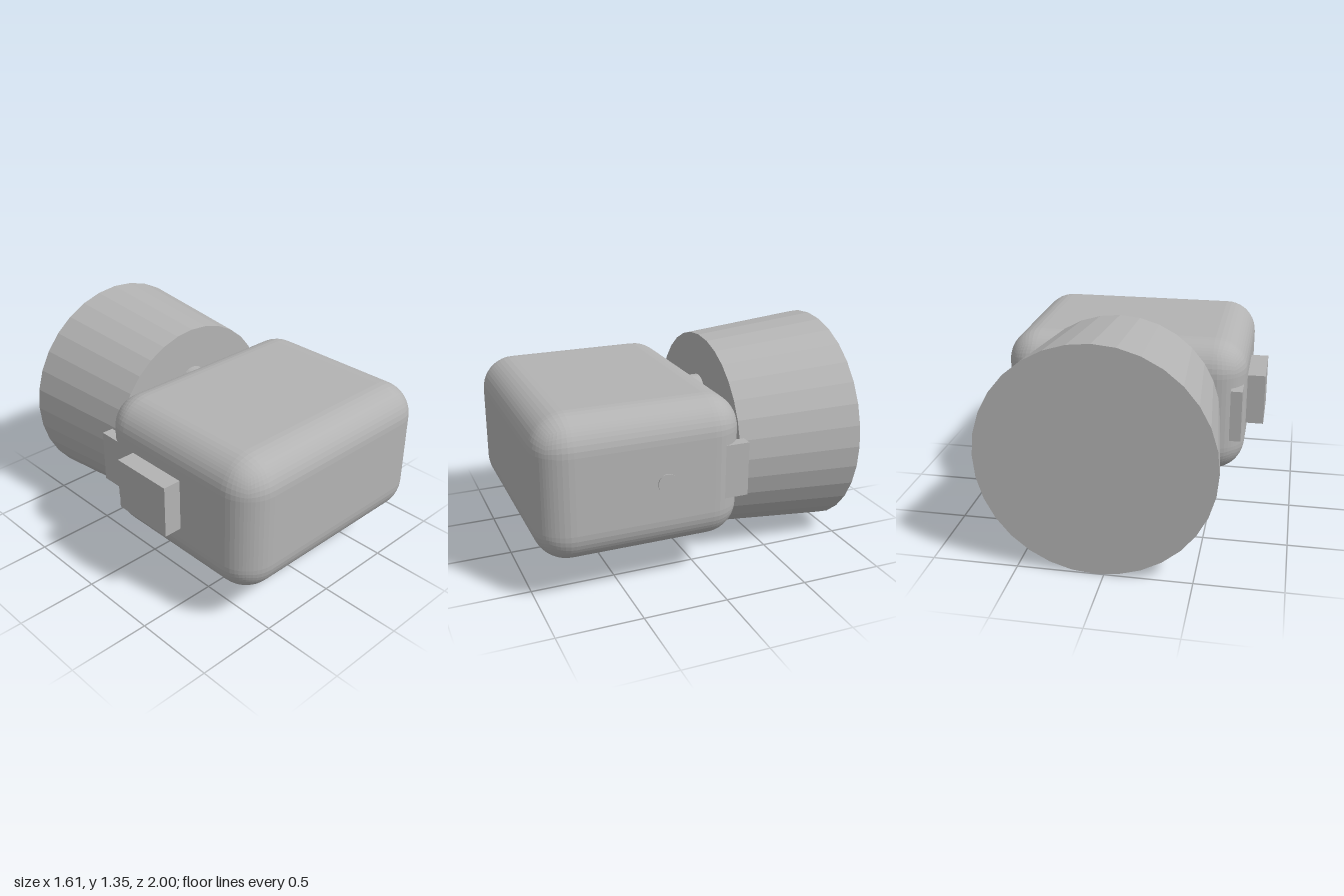
import * as THREE from 'three';
import { RoundedBoxGeometry } from 'three/addons/geometries/RoundedBoxGeometry.js';

export function createModel() {
  const group = new THREE.Group();
  const grey = new THREE.MeshStandardMaterial({ color: 0xb3b3b3, flatShading: true });
  grey.name = 'grey';
  const cx = 0.05, cy = 0.678; // shared axis of body and lens

  function add(name, geometry, x, y, z) {
    const mesh = new THREE.Mesh(geometry, grey);
    mesh.name = name;
    mesh.position.set(x, y, z);
    group.add(mesh);
  }
  // Box given by its limits on each axis
  function box(name, x0, x1, y0, y1, z0, z1) {
    add(name, new THREE.BoxGeometry(x1 - x0, y1 - y0, z1 - z0),
      (x0 + x1) / 2, (y0 + y1) / 2, (z0 + z1) / 2);
  }
  // Round part lying along z, from zBack to zFront
  function barrel(name, rFront, rBack, y, zBack, zFront) {
    const g = new THREE.CylinderGeometry(rFront, rBack, zFront - zBack, 32).rotateX(Math.PI / 2);
    add(name, g, cx, y, (zBack + zFront) / 2);
  }

  // Rounded housing
  add('body', new RoundedBoxGeometry(1.49, 0.85, 1.21, 6, 0.2), cx, cy, 0.395);

  // Flared drum behind, with its mount and locating pin
  barrel('drum', 0.605, 0.675, 0.675, -1, -0.232);
  barrel('mountDisc', 0.28, 0.28, 0.675, -0.234, -0.15);
  barrel('mountPin', 0.105, 0.105, 0.92, -0.234, -0.05);

  // Lugs on both rear corners
  for (const side of [-1, 1]) {
    const x = cx + side * 0.698;
    box(side < 0 ? 'rightLug' : 'leftLug', x - 0.035, x + 0.035, 0.52, 0.84, -0.22, -0.02);
  }

  // Side block, round button and underside hatch
  box('sideBlock', -0.805, -0.65, 0.52, 0.84, 0.08, 0.48);
  add('button', new THREE.CylinderGeometry(0.055, 0.055, 0.05, 24).rotateZ(Math.PI / 2), 0.778, 0.68, 0.28);
  box('bottomHatch', -0.3, 0.4, 0.242, 0.27, -0.08, 0.44);

  return group;
}
